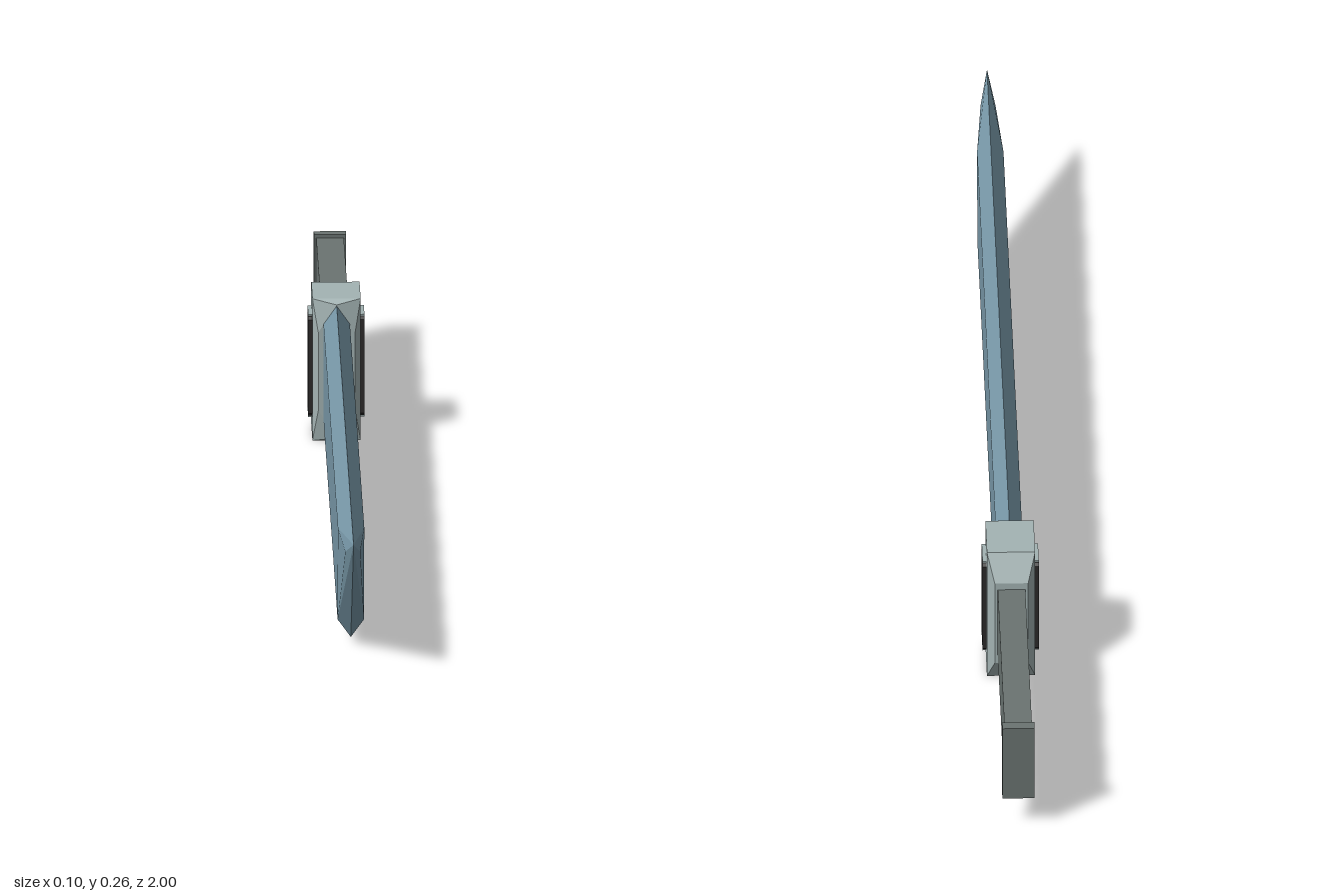
import * as THREE from 'three';
import { ConvexGeometry } from 'three/addons/geometries/ConvexGeometry.js';

const mat = (name, color) => {
  const m = new THREE.MeshStandardMaterial({ color, flatShading: true });
  m.name = name;
  return m;
};

// Faceted solid spanned by points, each mirrored across x = 0
function mirroredSolid(points) {
  const all = [];
  for (const [x, y, z] of points) {
    all.push(new THREE.Vector3(x, y, z));
    if (x > 0) all.push(new THREE.Vector3(-x, y, z));
  }
  return new ConvexGeometry(all);
}

export function createModel() {
  const group = new THREE.Group();
  const steel = mat('blue steel', 0x7898a8);
  const pale = mat('pale metal', 0xa3b3b3);
  const grey = mat('grip grey', 0x6b7472);
  const black = mat('black inlay', 0x2c2a2a);

  const add = (name, geometry, material) => {
    const mesh = new THREE.Mesh(geometry, material);
    mesh.name = name;
    group.add(mesh);
    return mesh;
  };
  // Box given by its extents
  const box = (name, material, x0, x1, y0, y1, z0, z1) =>
    add(name, new THREE.BoxGeometry(x1 - x0, y1 - y0, z1 - z0), material)
      .position.set((x0 + x1) / 2, (y0 + y1) / 2, (z0 + z1) / 2);

  // Blade: hexagonal section, slanted tip with bevelled edges
  add('blade', mirroredSolid([
    [0, 0.248, -0.43], [0.023, 0.215, -0.43], [0.023, 0.042, -0.43], [0, 0.01, -0.43],
    [0.023, 0.215, 0.79], [0.023, 0.042, 0.77], [0, 0.01, 0.77],
    [0.013, 0.216, 0.935], [0, 0.248, 1],
  ]), steel);

  // Guard: block with a shallow faceted front and a chamfered back
  add('guard', mirroredSolid([
    [0, 0.25, -0.416], [0.032, 0.2, -0.416], [0.032, 0.058, -0.416], [0, 0.008, -0.416],
    [0.042, 0.258, -0.428], [0.042, 0, -0.428],
    [0.042, 0.258, -0.527], [0.042, 0, -0.527],
    [0.029, 0.212, -0.556], [0.029, 0.046, -0.556],
  ]), pale);

  // Inlays on both sides of the guard, with slim end clips
  const inlay = new THREE.Shape();
  const w = 0.033, h = 0.09, c = 0.005;
  [[-w + c, -h], [w - c, -h], [w, -h + c], [w, h - c], [w - c, h], [-w + c, h], [-w, h - c], [-w, -h + c]]
    .forEach(([a, b], i) => (i ? inlay.lineTo(a, b) : inlay.moveTo(a, b)));
  for (const s of [1, -1]) {
    const side = s > 0 ? 'left' : 'right';
    const pad = add(side + 'Inlay',
      new THREE.ExtrudeGeometry(inlay, { depth: 0.008, bevelEnabled: false }), black);
    pad.rotation.y = s * Math.PI / 2;
    pad.position.set(s * 0.041, 0.13, -0.475);
    for (const y of [0.037, 0.217])
      box(side + 'InlayClip', pale, s * 0.045 - 0.004, s * 0.045 + 0.004, y, y + 0.006, -0.502, -0.448);
  }

  // Grip and pommel
  box('grip', grey, -0.024, 0.024, 0.064, 0.199, -0.985, -0.55);
  box('pommel', grey, -0.028, 0.028, 0.059, 0.205, -1, -0.98);

  return group;
}
